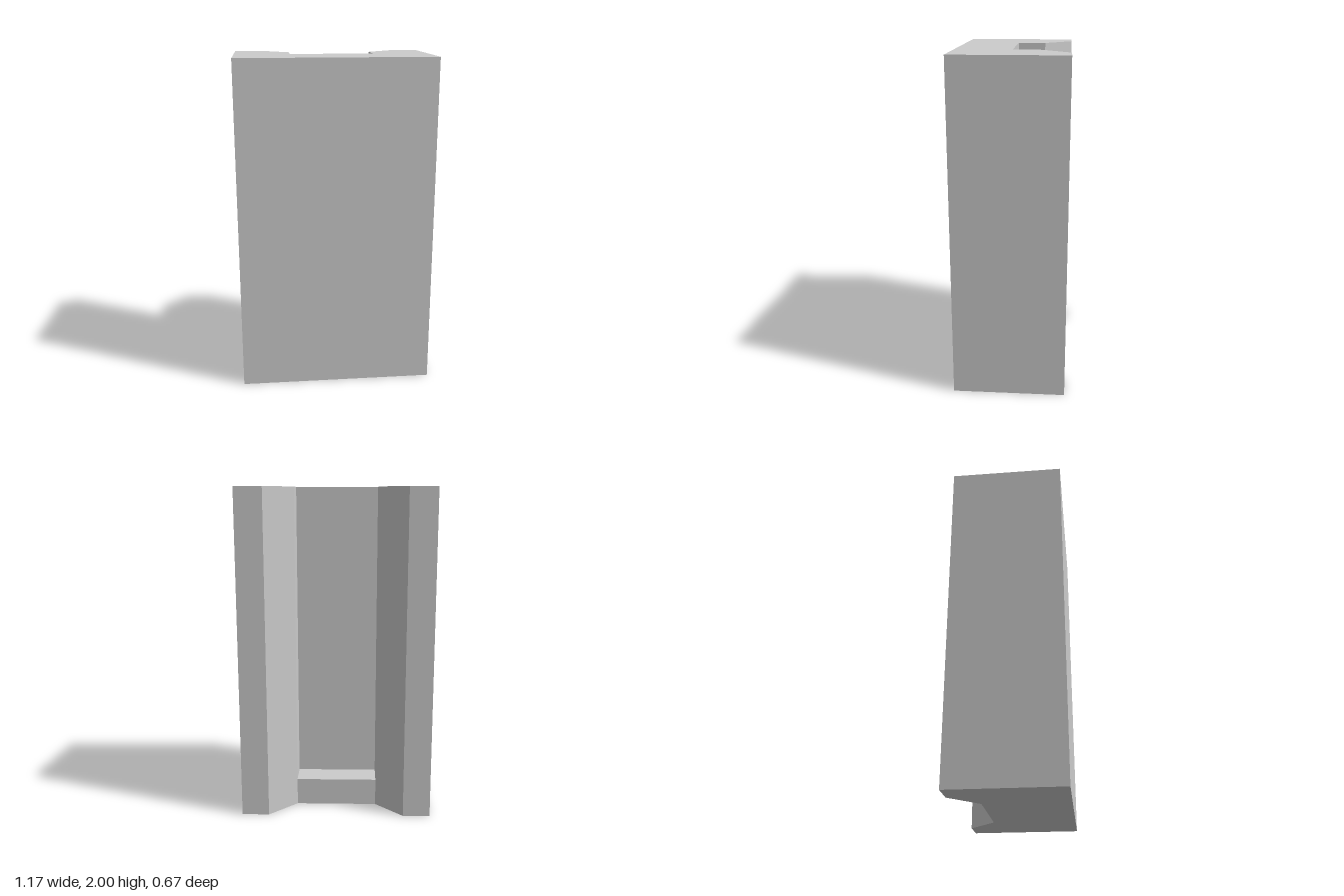
import * as THREE from 'three';

export function createModel() {
  const group = new THREE.Group();
  const material = new THREE.MeshStandardMaterial({ color: 0xcccccc, flatShading: true });

  const height = 2, halfWidth = 0.583, halfDepth = 0.333;
  const slotHalf = 0.25, mouthHalf = 0.417, sillDepth = 0.167, sillHeight = 0.167;

  // Plan outline of the block: half a profile, mirrored; shape y points to the back
  const half = [
    [halfWidth, -halfDepth],
    [halfWidth, halfDepth],
    [mouthHalf, halfDepth],
    [slotHalf, sillDepth],
    [slotHalf, 0],
  ];
  const outline = [...half, ...half.map(([x, y]) => [-x, y]).reverse()];
  const shape = new THREE.Shape(outline.map(([x, y]) => new THREE.Vector2(x, y)));

  // Upright block with a flared channel down its back
  const blockGeometry = new THREE.ExtrudeGeometry(shape, { depth: height, bevelEnabled: false });
  blockGeometry.rotateX(-Math.PI / 2);
  const block = new THREE.Mesh(blockGeometry, material);
  block.name = 'channelBlock';
  group.add(block);

  // Low sill closing the foot of the channel
  const sill = new THREE.Mesh(new THREE.BoxGeometry(slotHalf * 2, sillHeight, sillDepth), material);
  sill.position.set(0, sillHeight / 2, -sillDepth / 2);
  sill.name = 'channelSill';
  group.add(sill);

  return group;
}
